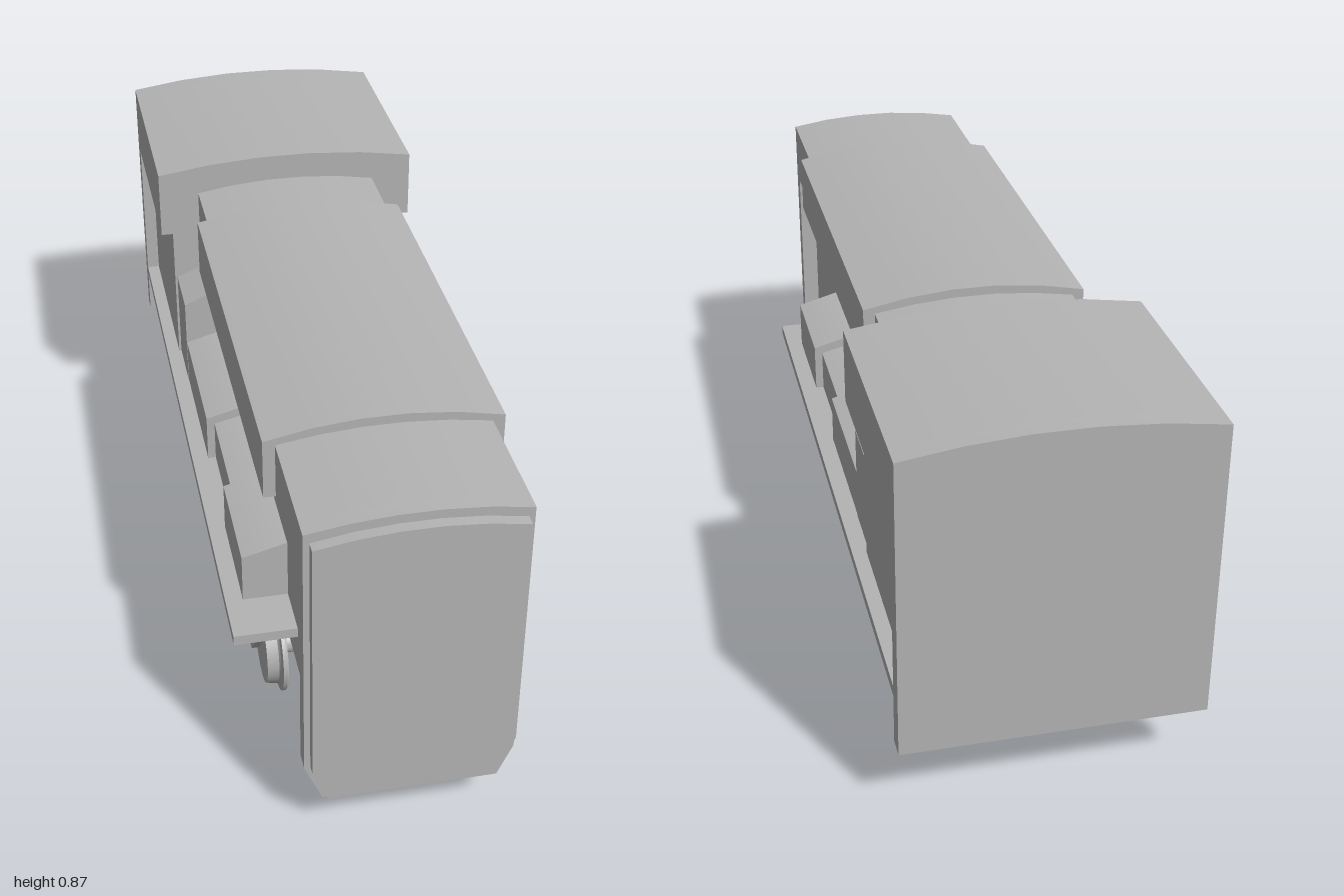
import * as THREE from 'three';
import { toCreasedNormals } from 'three/addons/utils/BufferGeometryUtils.js';

export function createModel() {
  const model = new THREE.Group();
  model.name = 'locomotive';
  const grey = new THREE.MeshStandardMaterial({ color: 0xb4b4b4 });
  grey.name = 'plain grey';

  const add = (name, geometry) => {
    const mesh = new THREE.Mesh(toCreasedNormals(geometry, 0.35), grey);
    mesh.name = name;
    model.add(mesh);
  };
  const toShape = (points) => new THREE.Shape(points.map(([a, b]) => new THREE.Vector2(a, b)));

  // Cross-section in x and y, stretched from z0 to z1
  const prism = (name, points, z0, z1) => {
    const g = new THREE.ExtrudeGeometry(toShape(points), { depth: z1 - z0, bevelEnabled: false });
    add(name, g.translate(0, 0, z0));
  };
  // Outline in z and y, stretched from x0 to x1
  const sidePlate = (name, points, x0, x1) => {
    const g = new THREE.ExtrudeGeometry(toShape(points), { depth: x1 - x0, bevelEnabled: false });
    add(name, g.rotateY(-Math.PI / 2).translate(x1, 0, 0));
  };
  // Symmetric section: right half listed from the bottom up, closed by a shallow arched roof
  const arched = (half, eave, peak) => {
    const w = half[half.length - 1][0];
    const roof = [1, 0.6, 0.2, -0.2, -0.6, -1].map((t) =>
      [w * t, eave + ((peak - eave) * (1 - t * t)) / 0.96]);
    return [...half, ...roof, ...half.slice().reverse().map(([x, y]) => [-x, y])];
  };

  // Boiler casing, narrower below the shoulder
  const inner = 0.185;
  prism('body', arched([[inner, 0.185], [inner, 0.585], [0.226, 0.635]], 0.782, 0.803), -0.97, 0.94);
  prism('noseFrame', arched([[0.188, 0.083], [0.226, 0.175]], 0.782, 0.803), 0.935, 0.975);
  prism('nosePanel', arched([[0.18, 0.103], [0.213, 0.18]], 0.762, 0.783), 0.97, 1);
  prism('roofCover', arched([[0.252, 0.655]], 0.793, 0.823), -0.27, 0.68);

  // Cab
  prism('cabTop', arched([[0.325, 0.672]], 0.839, 0.867), -0.96, -0.45);
  prism('cabWalls', [[-0.293, 0.285], [0.293, 0.285], [0.293, 0.68], [-0.293, 0.68]], -0.96, -0.48);
  prism('cabBack', arched([[0.325, 0.162]], 0.839, 0.867), -1, -0.955);

  // Underframe between the wheels
  sidePlate('underframe', [[0.73, 0.19], [0.69, 0.085], [-0.54, 0.085], [-0.58, 0.19]], -0.145, 0.145);

  // Boxes on the running boards: front z, back z, outer x, outer height, inner height
  const boxes = [
    ['frontTank', 0.573, 0.307, 0.286, 0.416, 0.444],
    ['lowLocker', 0.307, 0.03, 0.267, 0.4, 0.42],
    ['longLocker', 0.03, -0.33, 0.286, 0.416, 0.444],
    ['tallLocker', -0.33, -0.485, 0.287, 0.527, 0.571],
  ];
  const wheelProfile = [
    [0.028, 0.1], [0.028, 0.212], [0.075, 0.212], [0.08, 0.194], [0.109, 0.194], [0.112, 0.198],
    [0.112, 0.206], [0.1, 0.209], [0.094, 0.213], [0.09, 0.239], [0, 0.239],
  ].map(([r, h]) => new THREE.Vector2(r, h));

  for (const s of [1, -1]) {
    const side = s > 0 ? 'left' : 'right';
    const mirror = (points) => points.map(([x, y]) => [s * x, y]);

    prism(side + 'RunningBoard', mirror([[0.17, 0.276], [0.325, 0.276], [0.325, 0.3], [0.17, 0.3]]), -0.96, 0.69);
    for (const [name, front, back, x, low, high] of boxes) {
      prism(side + name, mirror([[inner - 0.005, 0.295], [x, 0.295], [x, low], [inner, high], [inner - 0.005, high]]), back, front);
    }

    // Hanging plate over the wheels
    const [x0, x1] = s > 0 ? [0.251, 0.267] : [-0.267, -0.251];
    sidePlate(side + 'Valance', [[0.68, 0.28], [0.555, 0.138], [-0.39, 0.138], [-0.52, 0.28]], x0, x1);

    // Flanged wheels with stub axles
    for (const z of [0.515, 0.075, -0.367]) {
      const wheel = new THREE.LatheGeometry(wheelProfile, 32).rotateZ(-s * Math.PI / 2);
      add(side + 'Wheel', wheel.translate(0, 0.112, z));
    }
  }
  return model;
}
